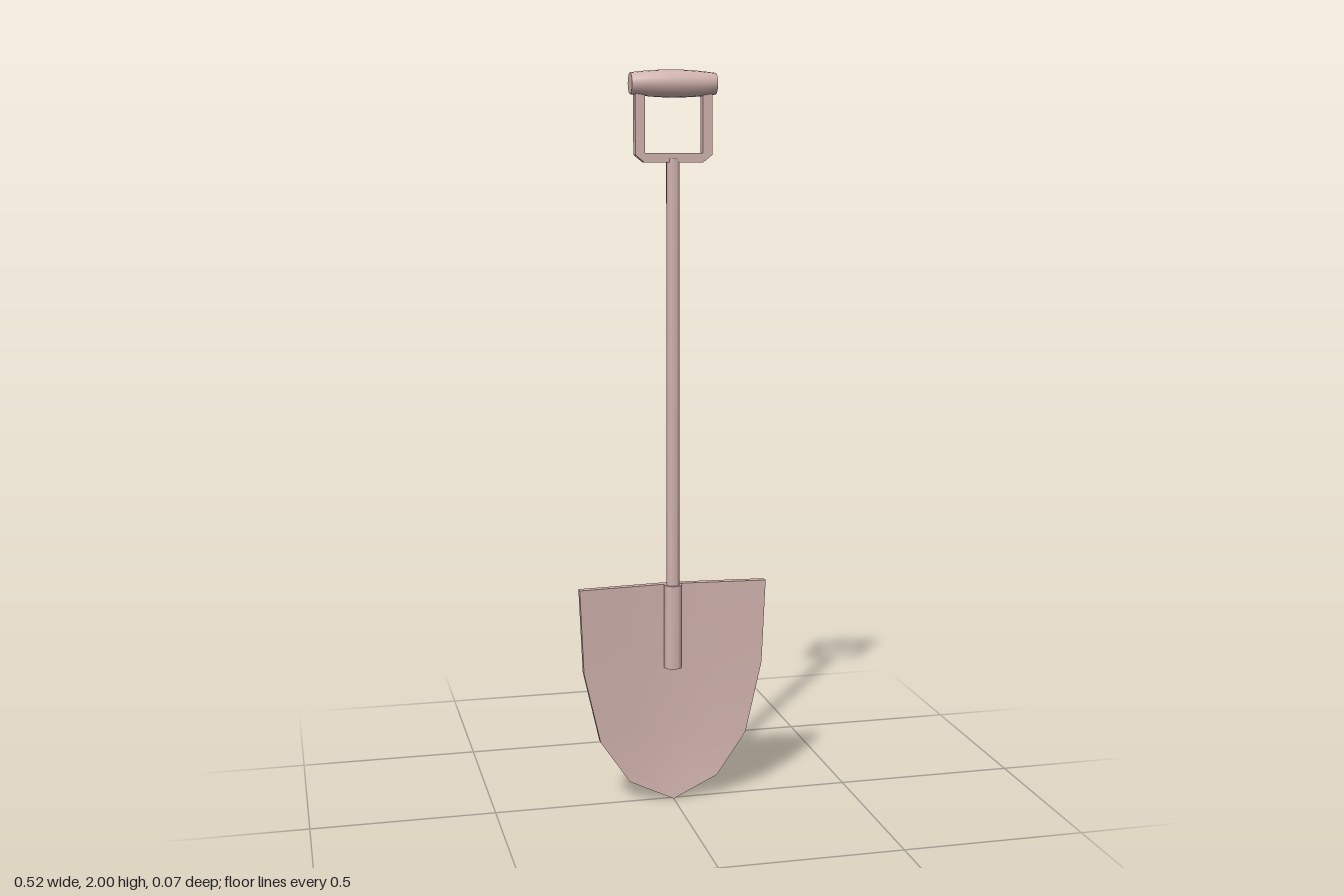
import * as THREE from 'three';
import { toCreasedNormals } from 'three/addons/utils/BufferGeometryUtils.js';

const material = new THREE.MeshStandardMaterial({ color: 0xd0b2ad });

function part(group, name, geometry, crease = 0.6) {
  const mesh = new THREE.Mesh(toCreasedNormals(geometry, crease), material);
  mesh.name = name;
  group.add(mesh);
  return mesh;
}

// Solid dished blade: closed cross-sections stacked from tip to top edge
function bladeGeometry() {
  // [height, half width, depth of the dish at the centre]
  const rows = [
    [0, 0, 0], [0.06, 0.125, 0.009], [0.18, 0.207, 0.017],
    [0.38, 0.252, 0.021], [0.615, 0.262, 0.021],
  ];
  const cols = 4, half = 0.01, n = 2 * (cols + 1);
  const positions = [], index = [];
  for (const [y, width, dish] of rows) {
    for (let k = 0; k < n; k++) {
      const front = k <= cols;
      const u = ((front ? k : n - 1 - k) / cols) * 2 - 1;
      positions.push(u * width, y, -dish * (1 - Math.abs(u)) + (front ? half : -half));
    }
  }
  for (let j = 0; j < rows.length - 1; j++) {
    for (let k = 0; k < n; k++) {
      const a = j * n + k, b = j * n + (k + 1) % n;
      index.push(a, b, b + n);
      index.push(a, b + n, a + n);
    }
  }
  // Top edge
  const top = (rows.length - 1) * n;
  for (let i = 0; i < cols; i++) {
    const a = top + i, b = a + 1, c = top + n - 2 - i, d = c + 1;
    index.push(a, b, c, a, c, d);
  }
  const geometry = new THREE.BufferGeometry();
  geometry.setAttribute('position', new THREE.Float32BufferAttribute(positions, 3));
  geometry.setIndex(index);
  return geometry;
}

// U-shaped yoke with chamfered lower corners
function yokeGeometry() {
  const outer = 0.104, inner = 0.078, bottom = 1.76, top = 1.955;
  const shape = new THREE.Shape([
    [-outer, top], [-outer, bottom + 0.02], [-outer + 0.025, bottom],
    [outer - 0.025, bottom], [outer, bottom + 0.02], [outer, top],
    [inner, top], [inner, bottom + 0.025], [-inner, bottom + 0.025], [-inner, top],
  ].map(([x, y]) => new THREE.Vector2(x, y)));
  return new THREE.ExtrudeGeometry(shape, { depth: 0.026, bevelEnabled: false }).translate(0, 0, -0.013);
}

// Barrel-shaped grip, turned about its length
function gripGeometry() {
  const length = 0.115, steps = 8;
  const profile = [new THREE.Vector2(0, -length)];
  for (let i = 0; i <= steps; i++) {
    const t = (i / steps) * 2 - 1;
    profile.push(new THREE.Vector2(0.036 - 0.008 * t * t, t * length));
  }
  profile.push(new THREE.Vector2(0, length));
  return new THREE.LatheGeometry(profile, 16).rotateZ(Math.PI / 2);
}

export function createModel() {
  const shovel = new THREE.Group();
  shovel.name = 'shovel';
  part(shovel, 'blade', bladeGeometry());
  part(shovel, 'socket', new THREE.CylinderGeometry(0.025, 0.025, 0.235, 16)).position.y = 0.4975;
  part(shovel, 'shaft', new THREE.CylinderGeometry(0.018, 0.018, 1.17, 16)).position.y = 1.185;
  part(shovel, 'handleYoke', yokeGeometry(), 0.3);
  part(shovel, 'grip', gripGeometry()).position.y = 1.964;
  return shovel;
}
